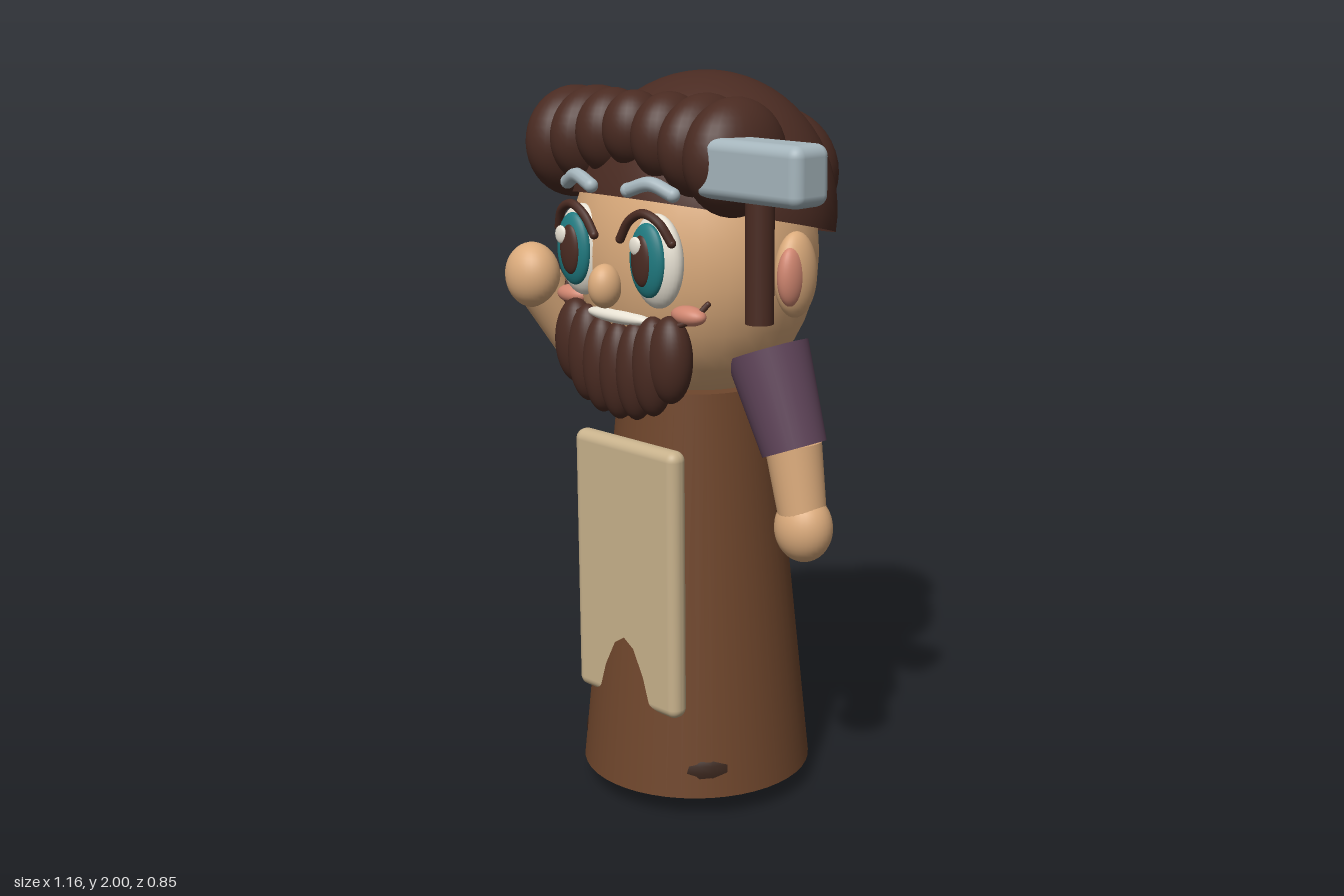
import * as THREE from 'three';
import { RoundedBoxGeometry } from 'three/addons/geometries/RoundedBoxGeometry.js';

const CX = -0.055; // centre line of the figure

export function createModel() {
  const model = new THREE.Group();
  model.name = 'beardedCraftsman';

  const mat = (name, color, extra = {}) => {
    const m = new THREE.MeshStandardMaterial({ color, ...extra });
    m.name = name;
    return m;
  };
  const robe = mat('robeBrown', 0x6f462c);
  const canvas = mat('apronCanvas', 0xc8b28c);
  const hair = mat('hairBrown', 0x4a2b22, { side: THREE.DoubleSide });
  const skin = mat('skin', 0xdbab7c);
  const cloth = mat('sleevePurple', 0x5f4459);
  const steel = mat('steel', 0xa6b6bd);
  const teal = mat('irisTeal', 0x1f7a80);
  const white = mat('eyeWhite', 0xe8e2d4);
  const pink = mat('blushPink', 0xd08670);
  const leather = mat('shoeLeather', 0x3a261d);

  const add = (name, geo, material, x = 0, y = 0, z = 0) => {
    const m = new THREE.Mesh(geo, material);
    m.name = name;
    m.position.set(x, y, z);
    model.add(m);
    return m;
  };
  // Ellipsoid placed at p with radii r
  const ball = (name, material, p, r) =>
    add(name, new THREE.SphereGeometry(1, 32, 20).scale(...r), material, ...p);
  // Tapered limb between two points
  const limb = (name, material, a, b, ra, rb) => {
    const p = new THREE.Vector3(...a), q = new THREE.Vector3(...b);
    const d = q.clone().sub(p);
    const m = add(name, new THREE.CylinderGeometry(rb, ra, d.length(), 32), material);
    m.position.copy(p).addScaledVector(d, 0.5);
    m.quaternion.setFromUnitVectors(new THREE.Vector3(0, 1, 0), d.normalize());
    return m;
  };
  // Rounded strand through a few points
  const strand = (name, material, pts, r) => {
    const curve = new THREE.CatmullRomCurve3(pts.map((p) => new THREE.Vector3(...p)));
    add(name, new THREE.TubeGeometry(curve, 24, r, 10), material);
    for (const p of [pts[0], pts[pts.length - 1]]) ball(name + 'Tip', material, p, [r, r, r]);
  };

  // Robe and apron; the robe flares through the apron's lower middle
  add('robe', new THREE.CylinderGeometry(0.21, 0.323, 1.11, 48), robe, CX, 0.615, 0.05);
  add('apron', new RoundedBoxGeometry(0.395, 0.75, 0.06, 4, 0.028), canvas, CX, 0.665, 0.3);

  // Head, hair cap and bun
  ball('head', skin, [CX, 1.53, 0.05], [0.355, 0.41, 0.31]);
  const cap = add('hairCap',
    new THREE.SphereGeometry(1, 40, 16, 0, Math.PI * 2, 0, Math.PI / 2).scale(0.385, 0.378, 0.33),
    hair, CX, 1.622, 0.02);
  cap.rotation.x = -0.22;
  ball('hairBun', hair, [CX, 1.71, -0.25], [0.2, 0.182, 0.174]);
  ball('nose', skin, [CX, 1.465, 0.378], [0.042, 0.058, 0.046]);

  // Forelock rolls: offset, y, z, rx, ry, rz
  const rolls = [
    [0, 1.86, 0.265, 0.08, 0.1, 0.09],
    [0.105, 1.845, 0.245, 0.085, 0.115, 0.11],
    [0.205, 1.825, 0.215, 0.09, 0.135, 0.145],
    [0.3, 1.805, 0.205, 0.105, 0.15, 0.155],
  ];
  // Beard locks: offset, y, z, rx, ry, rz
  const locks = [
    [0, 1.235, 0.33, 0.055, 0.132, 0.055],
    [0.065, 1.243, 0.33, 0.055, 0.132, 0.055],
    [0.125, 1.263, 0.327, 0.058, 0.132, 0.055],
    [0.182, 1.288, 0.32, 0.062, 0.115, 0.055],
  ];
  for (const s of [-1, 1]) {
    const x = (off) => CX + s * off;
    for (const [name, list] of [['forelockRoll', rolls], ['beardLock', locks]]) {
      for (const [off, y, z, ...r] of list) {
        if (off === 0 && s < 0) continue;
        ball(name, hair, [x(off), y, z], r);
      }
    }

    // Ears
    ball('ear', skin, [x(0.372), 1.5, 0.055], [0.045, 0.112, 0.067]);
    ball('innerEar', pink, [x(0.386), 1.5, 0.088], [0.03, 0.078, 0.042]);

    // Eyes
    ball('eyeWhite', white, [x(0.143), 1.54, 0.325], [0.085, 0.122, 0.045]);
    ball('iris', teal, [x(0.141), 1.545, 0.358], [0.061, 0.096, 0.026]);
    ball('pupil', hair, [x(0.137), 1.545, 0.375], [0.036, 0.066, 0.016]);
    ball('eyeGlint', white, [x(0.143) - 0.018, 1.583, 0.385], [0.021, 0.024, 0.009]);

    // Brows, with pale arches above them
    strand('eyebrow', hair, [[x(0.215), 1.595, 0.345], [x(0.185), 1.645, 0.36],
      [x(0.135), 1.665, 0.368], [x(0.085), 1.64, 0.37], [x(0.05), 1.592, 0.368]], 0.012);
    strand('paleBrow', steel, [[x(0.2), 1.713, 0.325], [x(0.14), 1.737, 0.345],
      [x(0.07), 1.717, 0.358]], 0.019);

    // Cheeks and moustache curls
    ball('cheek', pink, [x(0.222), 1.405, 0.293], [0.056, 0.026, 0.032]);
    strand('moustacheCurl', hair, [[x(0.268), 1.437, 0.27], [x(0.245), 1.4, 0.3],
      [x(0.2), 1.378, 0.325], [x(0.12), 1.37, 0.345]], 0.008);

    // Shoes
    ball('shoe', leather, [x(0.145), 0.13, 0.085], [0.155, 0.13, 0.222]);
  }
  ball('teeth', white, [CX, 1.38, 0.33], [0.12, 0.02, 0.03]);

  // Left arm, hanging
  limb('leftSleeve', cloth, [0.215, 1.286, 0.05], [0.315, 1.035, 0.05], 0.112, 0.088);
  limb('leftForearm', skin, [0.311, 1.045, 0.05], [0.348, 0.85, 0.05], 0.076, 0.064);
  ball('leftHand', skin, [0.35, 0.826, 0.05], [0.082, 0.093, 0.074]);

  // Right arm, raised
  limb('rightSleeve', cloth, [-0.2, 1.31, 0.05], [-0.432, 1.262, 0.085], 0.112, 0.112);
  limb('rightForearm', skin, [-0.475, 1.215, 0.11], [-0.503, 1.4, 0.225], 0.064, 0.07);
  ball('rightHand', skin, [-0.5, 1.425, 0.25], [0.082, 0.092, 0.074]);

  // Hammer
  add('hammerHead', new RoundedBoxGeometry(0.35, 0.15, 0.127, 4, 0.03), steel, 0.403, 1.79, 0.28);
  add('hammerHandle', new THREE.CylinderGeometry(0.036, 0.036, 0.34, 24), hair, 0.405, 1.587, 0.283);

  return model;
}
